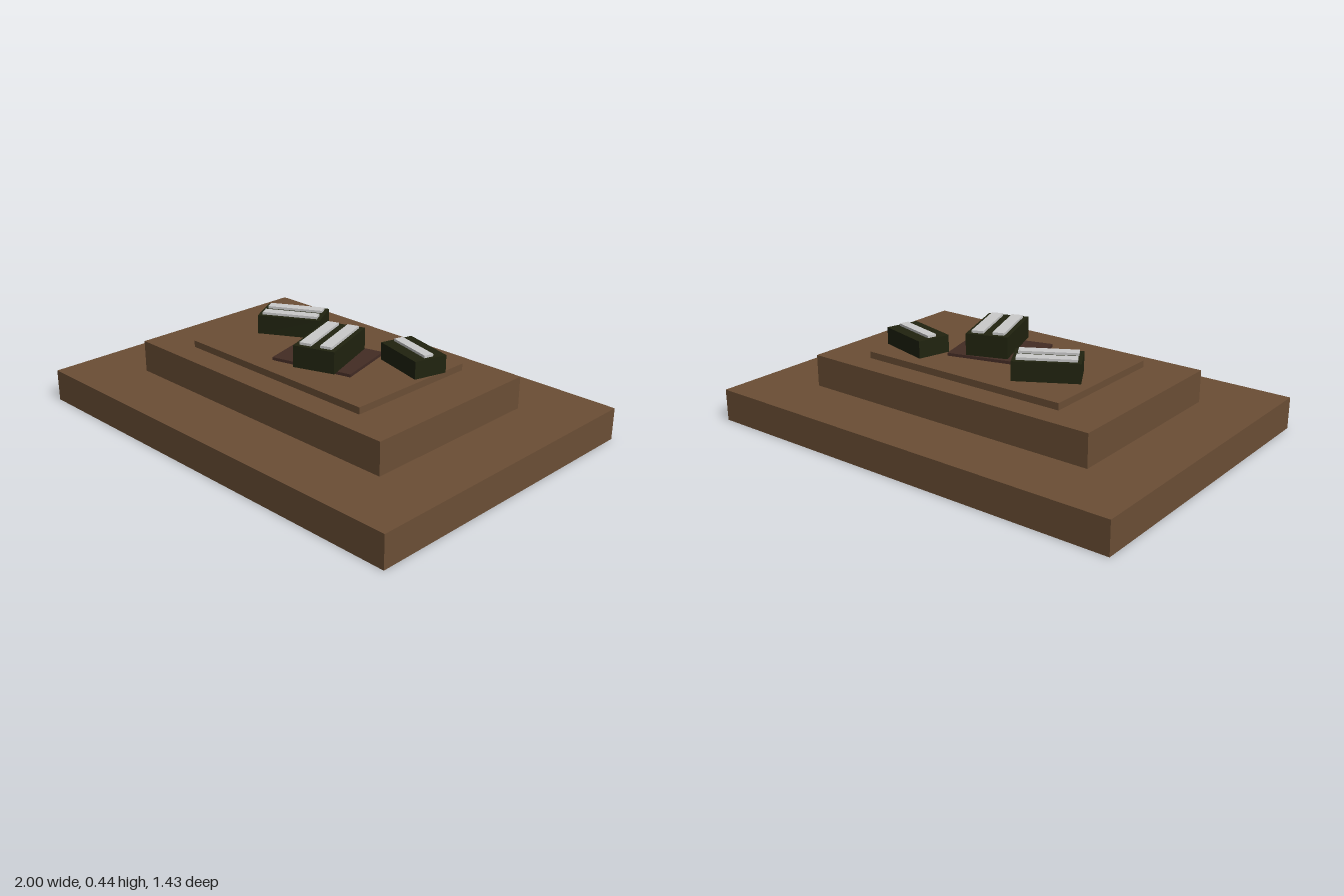
import * as THREE from 'three';

const paint = (name, color) => {
  const m = new THREE.MeshStandardMaterial({ color });
  m.name = name;
  return m;
};

export function createModel() {
  const earth = paint('earth brown', 0x6b4e35);
  const dark = paint('dark brown', 0x432c24);
  const olive = paint('dark olive', 0x20230f);
  const pale = paint('pale grey', 0xcacaca);

  // Box given by its bottom height and its size
  const block = (name, w, h, d, bottom, material) => {
    const mesh = new THREE.Mesh(new THREE.BoxGeometry(w, h, d), material);
    mesh.name = name;
    mesh.position.y = bottom + h / 2;
    return mesh;
  };

  const model = new THREE.Group();
  model.name = 'steppedMound';

  // Three stacked tiers
  model.add(block('lowerTier', 2, 0.143, 1.428, 0, earth));
  model.add(block('middleTier', 1.428, 0.143, 0.856, 0.143, earth));
  model.add(block('upperTier', 1, 0.03, 0.626, 0.286, earth));

  // Turned mat below the middle crate
  const mat = block('mat', 0.375, 0.013, 0.286, 0.316, dark);
  mat.position.x = 0.055;
  mat.position.z = 0.037;
  mat.rotation.y = 0.26;
  model.add(mat);

  // Crate with pale strips running along its longer side
  const addCrate = (name, x, y, z, w, h, d, turn, offsets) => {
    const crate = new THREE.Group();
    crate.name = name;
    crate.position.set(x, y, z);
    crate.rotation.y = turn;
    crate.add(block('crateBody', w, h, d, 0, olive));
    for (const o of offsets) {
      const strip = block('strip', w * 0.88, 0.011, d * 0.28, h, pale);
      strip.position.z = o * d;
      crate.add(strip);
    }
    model.add(crate);
  };
  addCrate('middleCrate', 0.085, 0.329, 0.057, 0.314, 0.096, 0.186, 0.35 - Math.PI / 2, [-0.25, 0.25]);
  addCrate('rightCrate', -0.288, 0.316, -0.089, 0.285, 0.085, 0.166, 0.524, [-0.25, 0.25]);
  addCrate('leftCrate', 0.37, 0.316, -0.147, 0.254, 0.077, 0.152, -0.26, [0]);

  return model;
}
